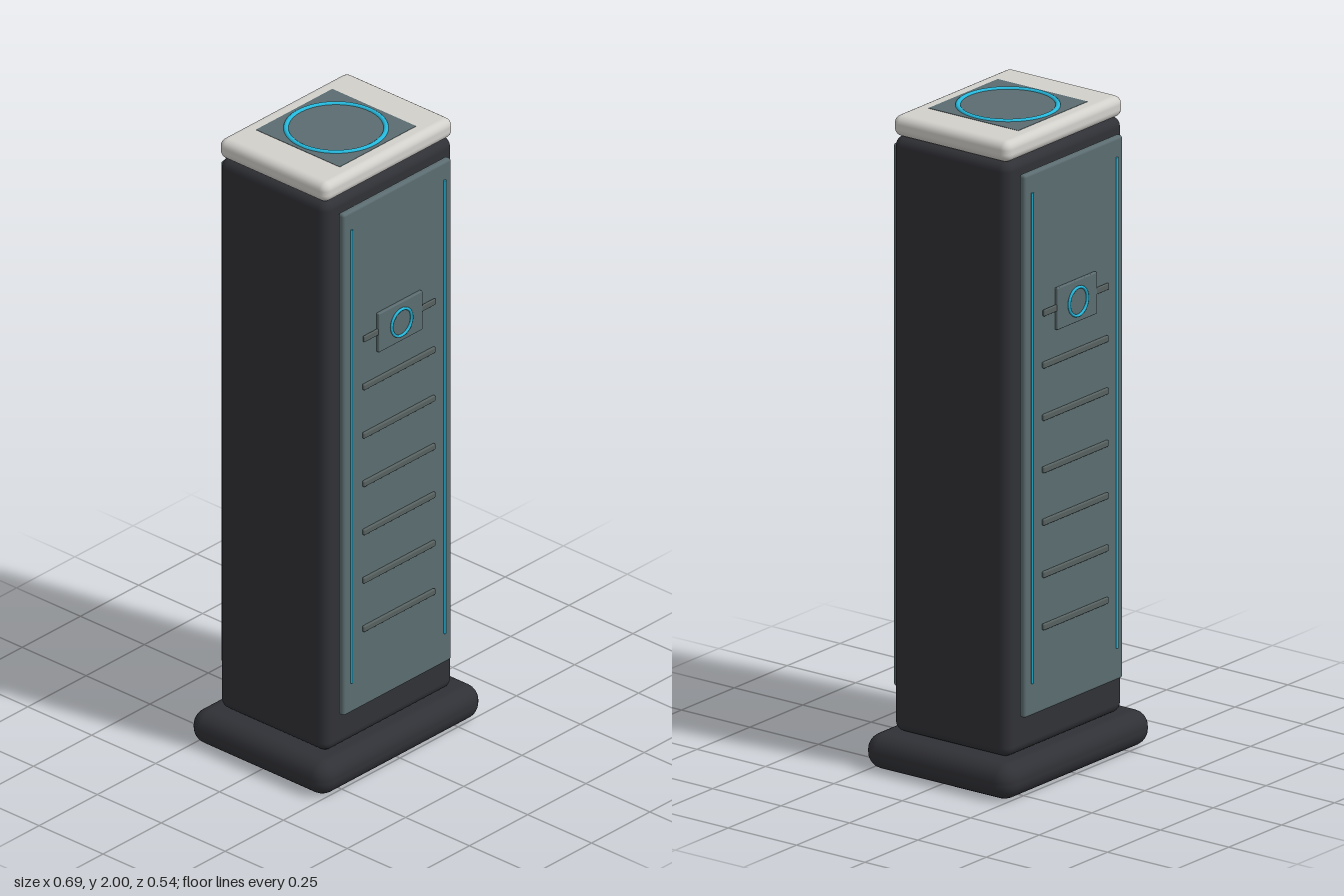
import * as THREE from 'three';
import { RoundedBoxGeometry } from 'three/addons/geometries/RoundedBoxGeometry.js';

const material = (color) => new THREE.MeshStandardMaterial({ color });

export function createModel() {
  const model = new THREE.Group();
  model.name = 'pillar';
  const dark = material(0x303136);
  const slate = material(0x5b6c70);
  const grey = material(0x56605f);
  const pale = material(0xd2d0cb);
  const cyan = material(0x25b8dc);

  function add(parent, name, geometry, mat, x, y, z) {
    const mesh = new THREE.Mesh(geometry, mat);
    mesh.name = name;
    mesh.position.set(x, y, z);
    parent.add(mesh);
    return mesh;
  }
  const rounded = (w, h, d, r, segments = 3) => new RoundedBoxGeometry(w, h, d, segments, r);

  // Foot, column and cap
  add(model, 'base', rounded(0.695, 0.108, 0.536, 0.05), dark, 0, 0.056, 0);
  add(model, 'column', rounded(0.552, 1.82, 0.422, 0.03), dark, 0, 1.02, 0);
  add(model, 'cap', rounded(0.554, 0.064, 0.424, 0.025), pale, 0, 1.961, 0);

  // Inset plate and light ring on the top
  add(model, 'topPlate', new THREE.BoxGeometry(0.328, 0.012, 0.328), slate, 0, 1.988, 0);
  const topRing = add(model, 'topRing', new THREE.TorusGeometry(0.145, 0.008, 10, 64), cyan, 0, 1.992, 0);
  topRing.rotation.x = Math.PI / 2;

  // The same decorated panel on the front and the back
  for (const side of ['front', 'back']) {
    const face = new THREE.Group();
    face.name = side + 'Face';
    face.rotation.y = side === 'front' ? 0 : Math.PI;
    model.add(face);

    add(face, 'panel', rounded(0.464, 1.66, 0.023, 0.009), slate, 0, 1.06, 0.23);

    // Vertical light strips
    for (const x of [-0.2, 0.2]) {
      add(face, 'lightStrip', new THREE.CylinderGeometry(0.004, 0.004, 1.5, 10), cyan, x, 1.08, 0.244);
    }

    // Horizontal ribs
    for (let i = 0; i < 6; i++) {
      add(face, 'rib', rounded(0.308, 0.02, 0.01, 0.0045), grey, 0, 0.49 + i * 0.16, 0.246);
    }

    // Emblem: crossbar, plate and ring
    add(face, 'emblemBar', rounded(0.308, 0.02, 0.008, 0.0035), grey, 0, 1.45, 0.248);
    add(face, 'emblemPlate', rounded(0.188, 0.128, 0.012, 0.003), slate, 0, 1.447, 0.248);
    const ring = add(face, 'emblemRing', new THREE.TorusGeometry(0.043, 0.0045, 8, 40), cyan, 0, 1.447, 0.2575);
    ring.name = 'emblemRing';
  }

  return model;
}
